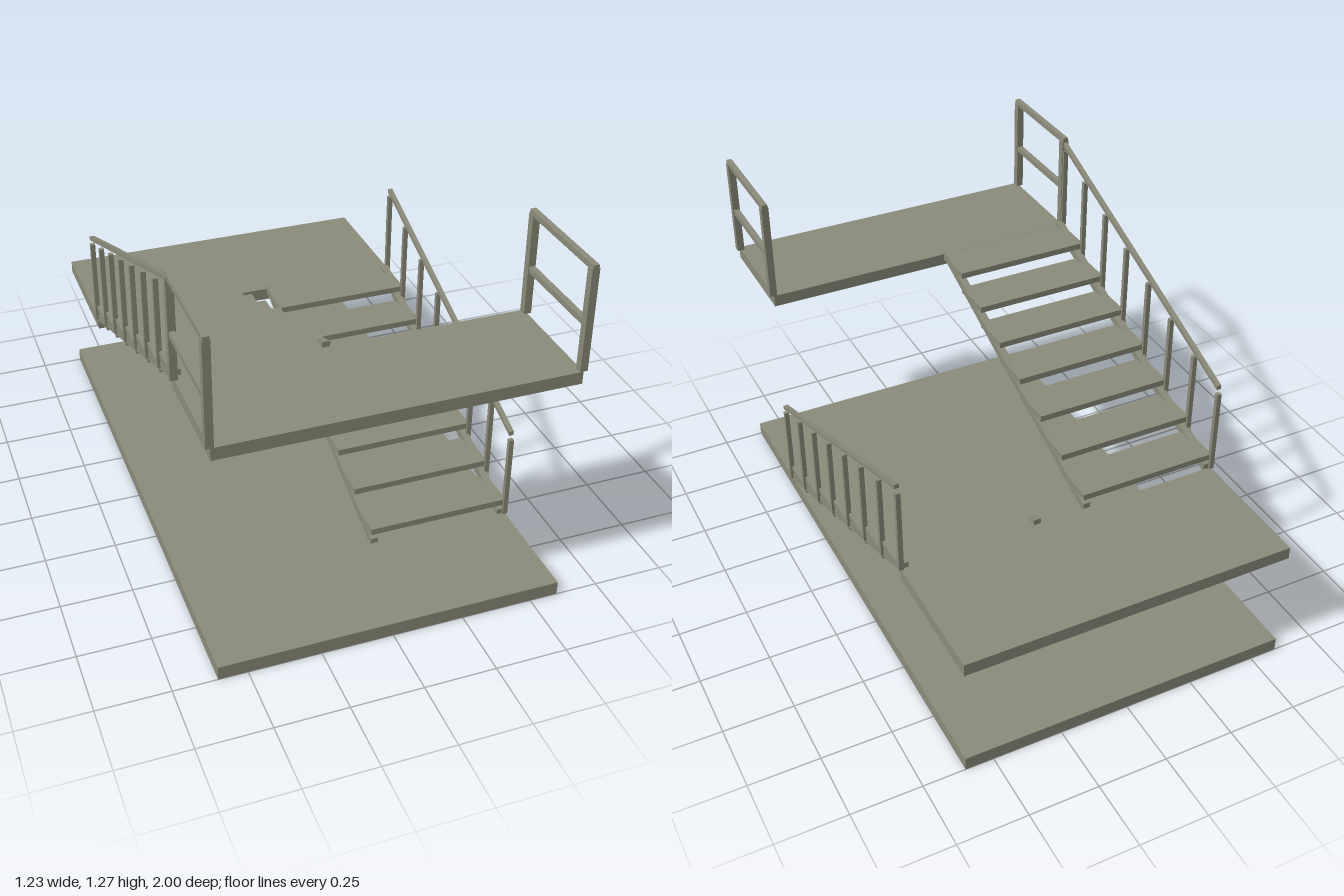
import * as THREE from 'three';

const stone = new THREE.MeshStandardMaterial({ color: 0x8b8c7a });
stone.name = 'stone grey';

// Box given by its min and max corners
function block(parent, name, [x0, y0, z0], [x1, y1, z1]) {
  const mesh = new THREE.Mesh(new THREE.BoxGeometry(x1 - x0, y1 - y0, z1 - z0), stone);
  mesh.name = name;
  mesh.position.set((x0 + x1) / 2, (y0 + y1) / 2, (z0 + z1) / 2);
  parent.add(mesh);
}

const STEPS = 7, RUN = 0.16, RISE = 0.0605;
const START = 0.6, END = START - STEPS * RUN, CLIMB = STEPS * RISE;

// Sloping bar with upright ends, parallel to the flight
function slopingBar(parent, name, x0, x1, bottom, depth) {
  const s = new THREE.Shape();
  s.moveTo(-START, bottom);
  s.lineTo(-END, bottom + CLIMB);
  s.lineTo(-END, bottom + CLIMB + depth);
  s.lineTo(-START, bottom + depth);
  s.closePath();
  const geo = new THREE.ExtrudeGeometry(s, { depth: x1 - x0, bevelEnabled: false });
  geo.rotateY(Math.PI / 2); // profile x becomes -z, depth becomes +x
  geo.translate(x0, 0, 0);
  const mesh = new THREE.Mesh(geo, stone);
  mesh.name = name;
  parent.add(mesh);
}

// One flight on the +x side, climbing towards -z from y = 0.05
function makeFlight(name) {
  const flight = new THREE.Group();
  flight.name = name;
  for (let i = 0; i < STEPS; i++) {
    const top = 0.11 + i * RISE, front = START - i * RUN;
    block(flight, 'tread', [0.083, top - 0.023, front - RUN], [0.6, top, front]);
  }
  slopingBar(flight, 'innerStringer', 0.082, 0.109, 0.037, 0.033);
  slopingBar(flight, 'outerStringer', 0.571, 0.599, 0.037, 0.033);
  // Balusters stop just short of the handrail
  for (let i = 0; i <= STEPS; i++) {
    const y = 0.05 + i * RISE, z = START - i * RUN;
    block(flight, 'baluster', [0.591, y, z - 0.008], [0.608, y + 0.322, z + 0.008]);
  }
  slopingBar(flight, 'handrail', 0.591, 0.608, 0.389, 0.016);
  return flight;
}

export function createModel() {
  const model = new THREE.Group();
  model.name = 'staircase';

  // Floor and landings
  block(model, 'groundSlab', [-0.6, 0, -1], [0.6, 0.05, 1]);
  block(model, 'middleLanding', [-0.6, 0.427, -1], [0.6, 0.473, END]);
  block(model, 'upperLanding', [-0.6, 0.853, 0.6], [0.6, 0.897, 1]);

  // Two flights, the upper one turned half round
  model.add(makeFlight('lowerFlight'));
  const upper = makeFlight('upperFlight');
  upper.rotation.y = Math.PI;
  upper.position.set(0, CLIMB, START + END);
  model.add(upper);

  // Guard frames at both ends of the upper landing
  for (const side of [-1, 1]) {
    const guard = new THREE.Group();
    guard.name = side > 0 ? 'leftGuard' : 'rightGuard';
    guard.position.x = side * 0.601;
    for (const z of [0.6, 0.973]) {
      block(guard, 'guardPost', [-0.013, 0.897, z], [0.013, 1.258, z + 0.027]);
    }
    block(guard, 'guardTopRail', [-0.01, 1.25, 0.6], [0.01, 1.27, 1]);
    block(guard, 'guardMiddleRail', [-0.01, 1.052, 0.61], [0.01, 1.073, 0.99]);
    model.add(guard);
  }
  return model;
}
